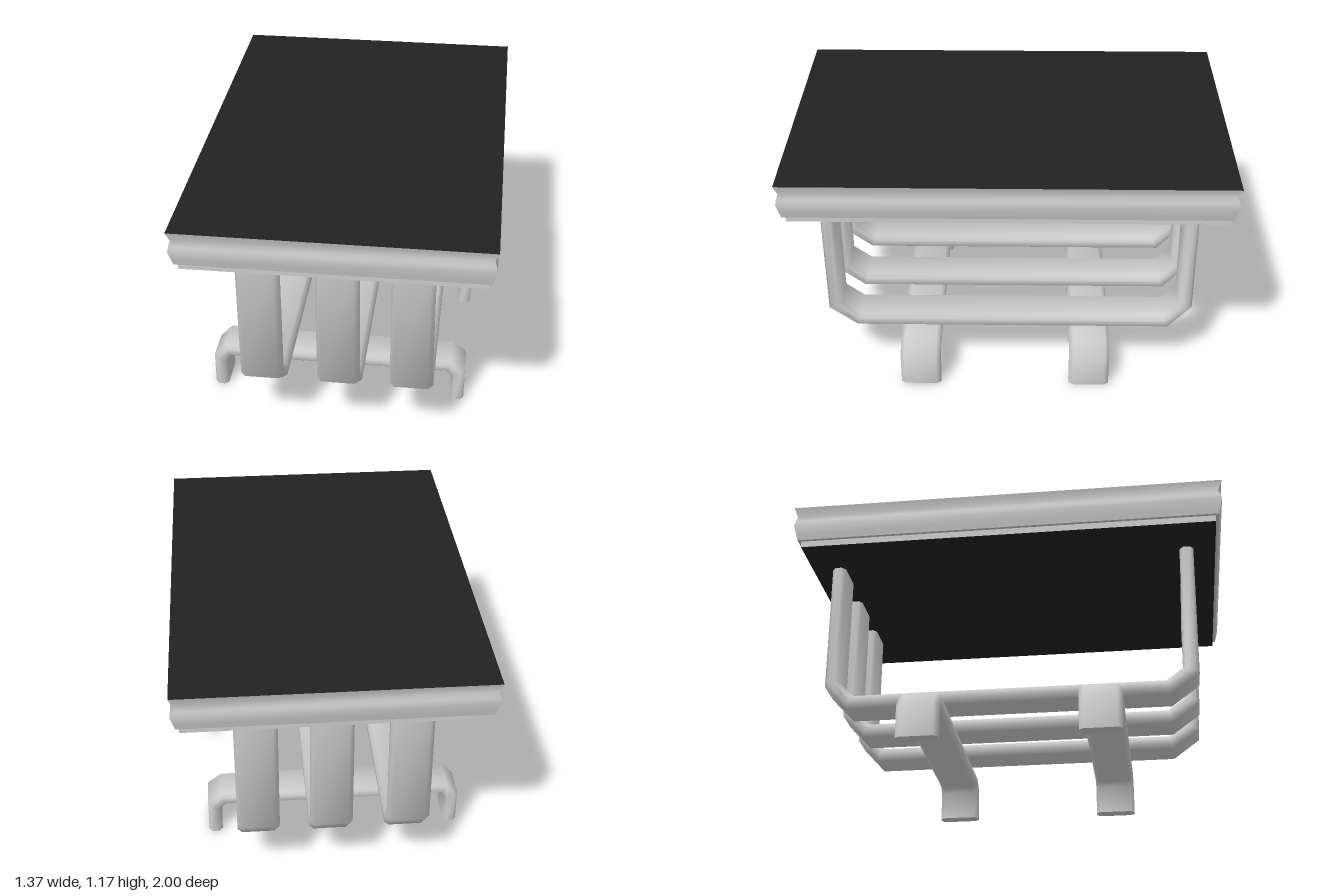
import * as THREE from 'three';
import { toCreasedNormals } from 'three/addons/utils/BufferGeometryUtils.js';

const grey = new THREE.MeshStandardMaterial({ color: 0xcccccc });
const dark = new THREE.MeshStandardMaterial({ color: 0x222222 });

// Skin a list of equal-length rings of [x, y, z], optionally closing both ends
function loft(rings, capped, crease) {
  const n = rings[0].length, last = (rings.length - 1) * n, index = [];
  for (let i = 0; i < rings.length - 1; i++) {
    for (let j = 0; j < n; j++) {
      const a = i * n + j, b = i * n + (j + 1) % n;
      index.push(a, b, b + n, a, b + n, a + n);
    }
  }
  if (capped) {
    for (let j = 1; j < n - 1; j++) index.push(0, j + 1, j, last, last + j, last + j + 1);
  }
  const g = new THREE.BufferGeometry();
  g.setAttribute('position', new THREE.Float32BufferAttribute(rings.flat(2), 3));
  g.setIndex(index);
  return toCreasedNormals(g, crease);
}

// Flattened tube section: [across, through]
const section = [[-0.095, 0.018], [-0.075, 0.032], [0.075, 0.032], [0.095, 0.015],
  [0.095, -0.015], [0.075, -0.032], [-0.075, -0.032], [-0.095, -0.015]];

// Mitred flat tube along a path in the XY plane, its width along z
function flatTube(path) {
  const pts = path.map(p => new THREE.Vector2(...p));
  const normal = (a, b) => {
    const d = b.clone().sub(a).normalize();
    return new THREE.Vector2(-d.y, d.x);
  };
  const rings = pts.map((p, i) => {
    const n1 = normal(pts[Math.max(i - 1, 0)], pts[Math.max(i, 1)]);
    const n2 = i < pts.length - 1 ? normal(p, pts[i + 1]) : n1;
    const m = n1.clone().add(n2).normalize();
    m.divideScalar(m.dot(n1));
    return section.map(([u, v]) => [p.x + m.x * v, p.y + m.y * v, u]);
  });
  return loft(rings, true, 1.2);
}

export function createModel() {
  const group = new THREE.Group();
  const add = (name, geometry, material = grey) => {
    const mesh = new THREE.Mesh(geometry, material);
    mesh.name = name;
    group.add(mesh);
    return mesh;
  };

  // Moulded rim: [inset, height] from the bottom up
  const profile = [[0.035, 0.98], [0.035, 1.01], [0.02, 1.01], [0.014, 1.035],
    [0.003, 1.08], [0.008, 1.105], [0.016, 1.13], [0, 1.175]];
  const corners = [[-1, 1], [1, 1], [1, -1], [-1, -1]];
  add('tableRim', loft(profile.map(([inset, y]) =>
    corners.map(([sx, sz]) => [sx * (0.683 - inset), y, sz * (1 - inset)])), false, 0.8));

  // Dark top and underside panels
  add('topPanel', new THREE.PlaneGeometry(1.366, 2).rotateX(-Math.PI / 2), dark).position.y = 1.175;
  add('undersidePanel', new THREE.PlaneGeometry(1.296, 1.93).rotateX(Math.PI / 2), dark).position.y = 0.98;

  // Three U-shaped supports running front to back
  const supportPath = [[0.83, 0.985], [0.823, 0.355], [0.715, 0.275],
    [-0.75, 0.275], [-0.838, 0.372], [-0.838, 0.985]];
  const support = flatTube(supportPath).rotateY(-Math.PI / 2);
  [-0.341, 0.005, 0.333].forEach((x, i) => {
    add('support' + (i + 1), support).position.x = x;
  });

  // Two foot rails running side to side
  const railPath = [[-0.61, 0], [-0.61, 0.148], [-0.57, 0.194],
    [0.488, 0.193], [0.533, 0.157], [0.533, 0.008]];
  const rail = flatTube(railPath);
  add('frontFootRail', rail).position.z = 0.417;
  add('backFootRail', rail).position.z = -0.385;

  return group;
}
